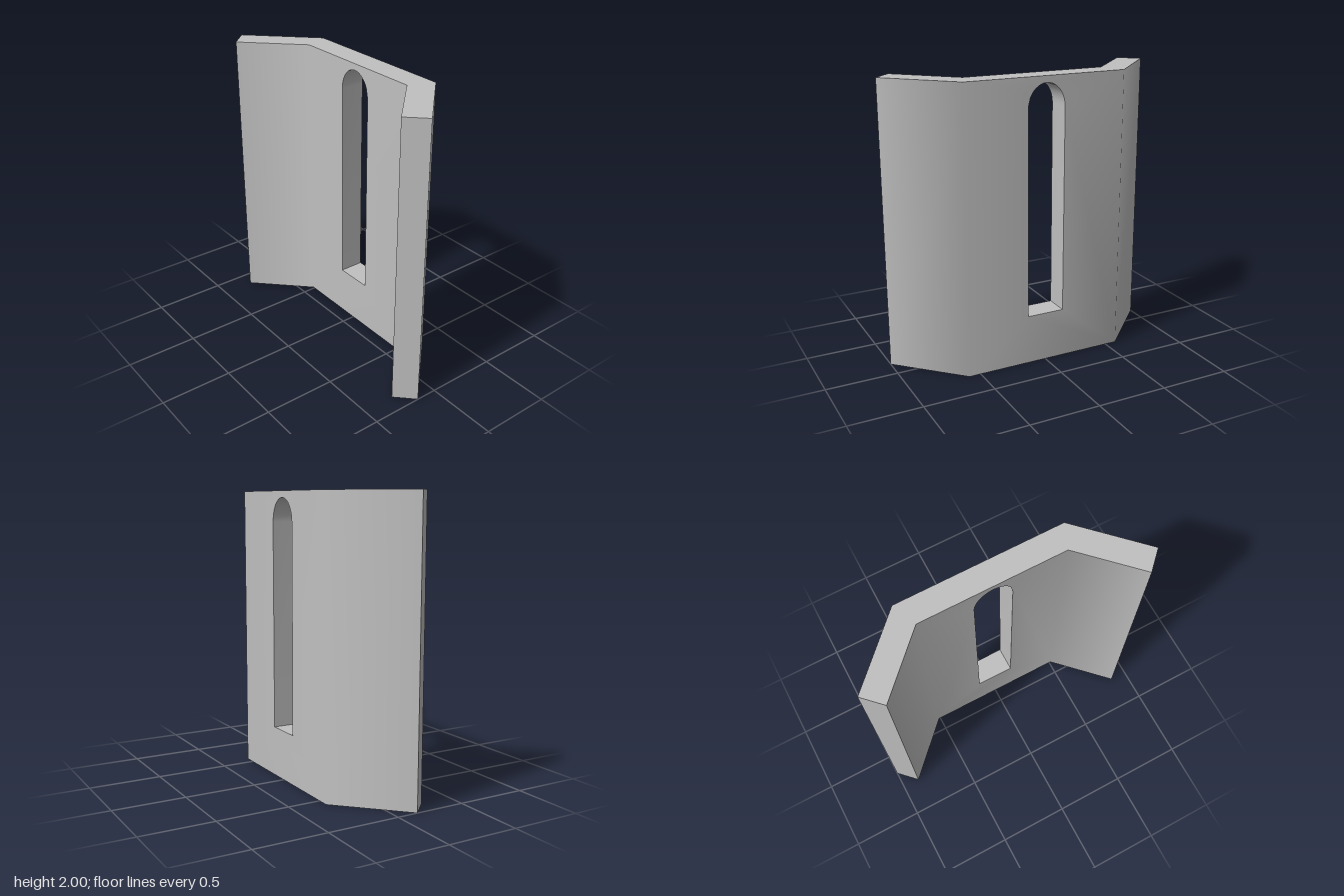
import * as THREE from 'three';
import { mergeGeometries, toCreasedNormals } from 'three/addons/utils/BufferGeometryUtils.js';

const H = 2;
// Plan corners [x, z] of the right half: bend and tip, on front and back
const BEND = { front: [0.511, -0.096], back: [0.583, -0.27] };
const TIP = { front: [0.877, 0.27], back: [1, 0.147] };

// Middle panel with an arched slot, its ends mitred at the bends
function middlePanel() {
  const outline = new THREE.Shape();
  outline.moveTo(-1, 0).lineTo(1, 0).lineTo(1, H).lineTo(-1, H).closePath();
  const w = 0.135, slotBottom = 0.35, spring = 1.79;
  const slot = new THREE.Path();
  slot.moveTo(-w, slotBottom).lineTo(-w, spring);
  slot.absellipse(0, spring, w, 0.165, Math.PI, 0, true);
  slot.lineTo(w, slotBottom).closePath();
  outline.holes.push(slot);
  const geo = new THREE.ExtrudeGeometry(outline, { depth: 1, bevelEnabled: false, curveSegments: 10 });
  const p = geo.attributes.position;
  for (let i = 0; i < p.count; i++) {
    const [x, z] = p.getZ(i) > 0.5 ? BEND.front : BEND.back;
    if (Math.abs(p.getX(i)) > 0.9) p.setX(i, Math.sign(p.getX(i)) * x);
    p.setZ(i, z);
  }
  return geo;
}

// Angled wing: a box whose corners move to the plan corners
function wing(side) {
  const geo = new THREE.BoxGeometry(1, H, 1).toNonIndexed();
  const p = geo.attributes.position;
  for (let i = 0; i < p.count; i++) {
    const end = p.getX(i) * side > 0 ? TIP : BEND;
    const [x, z] = p.getZ(i) > 0 ? end.front : end.back;
    p.setXYZ(i, side * x, p.getY(i) + H / 2, z);
  }
  return geo;
}

// Leave out the hidden faces where panel and wings meet
function withoutJoints(geo) {
  const p = geo.attributes.position, kept = [];
  const atBend = (i) => [BEND.front, BEND.back].some(([x, z]) =>
    Math.abs(Math.abs(p.getX(i)) - x) < 1e-4 && Math.abs(p.getZ(i) - z) < 1e-4);
  for (let i = 0; i < p.count; i += 3) {
    const sameSide = p.getX(i) * p.getX(i + 1) > 0 && p.getX(i) * p.getX(i + 2) > 0;
    if (sameSide && atBend(i) && atBend(i + 1) && atBend(i + 2)) continue;
    for (let k = i; k < i + 3; k++) kept.push(p.getX(k), p.getY(k), p.getZ(k));
  }
  const out = new THREE.BufferGeometry();
  out.setAttribute('position', new THREE.Float32BufferAttribute(kept, 3));
  return out;
}

export function createModel() {
  const grey = new THREE.MeshStandardMaterial({ color: 0xc0c0c0 });
  grey.name = 'light grey';
  const parts = [middlePanel(), wing(1), wing(-1)].map(withoutJoints);
  // Bends are shaded smooth, square edges stay sharp
  const wall = new THREE.Mesh(toCreasedNormals(mergeGeometries(parts), Math.PI / 3.4), grey);
  wall.name = 'bentWallWithArchedSlot';
  const group = new THREE.Group();
  group.name = 'wallSegment';
  group.add(wall);
  return group;
}
